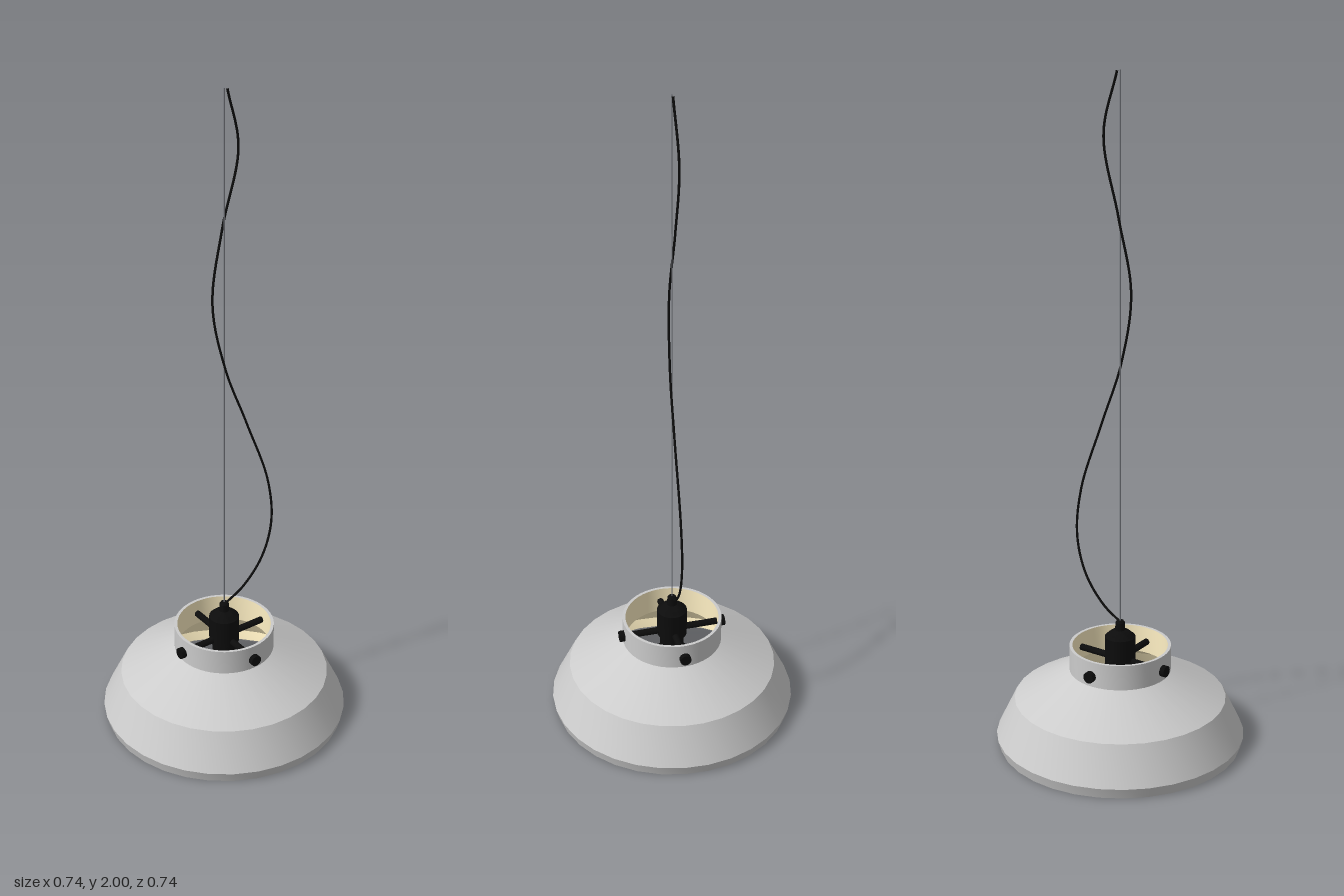
import * as THREE from 'three';
import { toCreasedNormals } from 'three/addons/utils/BufferGeometryUtils.js';

const grey = new THREE.MeshStandardMaterial({ color: 0xcccccc });
const cream = new THREE.MeshStandardMaterial({ color: 0xfff0c4 });
const black = new THREE.MeshStandardMaterial({ color: 0x0c0c0c });
const steel = new THREE.MeshStandardMaterial({ color: 0x777a80 });

// Turned part from [radius, y] pairs: smooth around, sharp at profile corners
function turned(name, profile, material, segments, crease = 0.35) {
  const points = profile.map(([r, y]) => new THREE.Vector2(r, y));
  const geometry = toCreasedNormals(new THREE.LatheGeometry(points, segments), crease);
  const mesh = new THREE.Mesh(geometry, material);
  mesh.name = name;
  return mesh;
}

// Horizontal rod along +x between two radii
function radialRod(name, radius, from, to, y) {
  const geometry = new THREE.CylinderGeometry(radius, radius, to - from, 20);
  geometry.rotateZ(Math.PI / 2).translate((from + to) / 2, y, 0);
  const mesh = new THREE.Mesh(toCreasedNormals(geometry, 0.5), black);
  mesh.name = name;
  return mesh;
}

export function createModel() {
  const model = new THREE.Group();
  model.name = 'pendantLamp';

  // Shade: outer shell with rolled rims, and a cream lining
  const shade = new THREE.Group();
  shade.name = 'shade';
  shade.rotation.y = 0.04;
  shade.add(
    turned('shadeShell', [
      [0.35, 0.008], [0.352, 0.004], [0.36, 0.004], [0.369, 0.036],
      [0.314, 0.15], [0.15, 0.238],
    ], grey, 32),
    turned('shadeLining', [
      [0.142, 0.234], [0.306, 0.146], [0.36, 0.036], [0.35, 0.008],
    ], cream, 32),
    turned('collar', [[0.15, 0.235], [0.15, 0.315], [0.141, 0.315]], grey, 48),
    turned('collarLining', [[0.141, 0.315], [0.141, 0.233]], cream, 48),
  );
  model.add(shade);

  // Four arms carry the collar, each fixed with a round knob
  for (let i = 0; i < 4; i++) {
    const arm = new THREE.Group();
    arm.name = 'supportArm' + (i + 1);
    arm.rotation.y = (i * Math.PI) / 2;
    arm.add(
      radialRod('armRod', 0.01, 0.02, 0.152, 0.27),
      radialRod('armKnob', 0.017, 0.149, 0.164, 0.27),
    );
    model.add(arm);
  }

  // Lamp holder: stepped body with a narrow cable gland
  model.add(turned('lampHolder', [
    [0, 0.215], [0.036, 0.215], [0.036, 0.25], [0.045, 0.255], [0.045, 0.342],
    [0.039, 0.346], [0.034, 0.352], [0.026, 0.358], [0.015, 0.363],
    [0.014, 0.386], [0.01, 0.392], [0, 0.392],
  ], black, 32, 0.5));

  // Globe bulb with a tapering neck
  const bulbProfile = [];
  for (let i = 0; i <= 16; i++) {
    const a = -Math.PI / 2 + (i / 16) * Math.PI * 0.82;
    bulbProfile.push([Math.max(0, 0.083 * Math.cos(a)), 0.118 + 0.083 * Math.sin(a)]);
  }
  bulbProfile.push([0.034, 0.205], [0.032, 0.225]);
  model.add(turned('bulb', bulbProfile, black, 32, 0.9));

  // Straight suspension wire
  const wire = new THREE.Mesh(new THREE.CylinderGeometry(0.002, 0.002, 1.61, 10), steel);
  wire.name = 'suspensionWire';
  wire.position.y = 1.195;
  model.add(wire);

  // Loose power cord winding round the wire
  const path = new THREE.CatmullRomCurve3([
    [0, 0.385, 0.002], [0.065, 0.425, 0.006], [0.13, 0.505, 0.01], [0.163, 0.62, 0.013],
    [0.148, 0.77, 0.014], [0.07, 0.99, 0.011], [0, 1.18, 0.006], [-0.038, 1.39, -0.002],
    [0, 1.6, -0.009], [0.051, 1.82, -0.006], [0.01, 1.998, 0],
  ].map((p) => new THREE.Vector3(...p)));
  const cord = new THREE.Mesh(new THREE.TubeGeometry(path, 120, 0.0035, 8), black);
  cord.name = 'powerCord';
  model.add(cord);

  return model;
}
